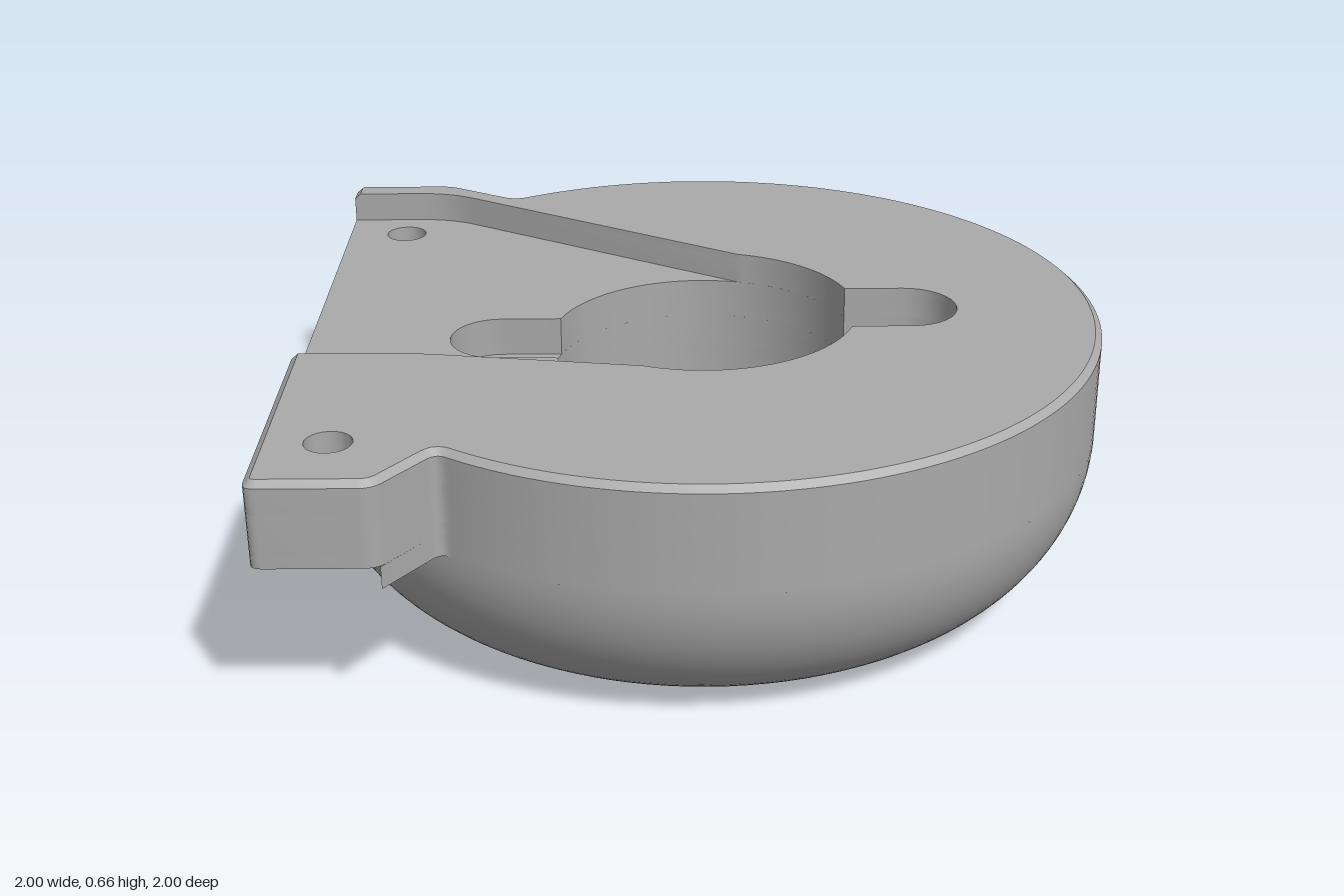
import * as THREE from 'three';
import { toCreasedNormals } from 'three/addons/utils/BufferGeometryUtils.js';

const V = (x, z) => new THREE.Vector2(x, z);

// points along an arc in the x-z plane
function arc(cx, cz, r, from, to, n) {
  const pts = [];
  for (let i = 0; i <= n; i++) {
    const t = from + (to - from) * i / n;
    pts.push(V(cx + r * Math.cos(t), cz + r * Math.sin(t)));
  }
  return pts;
}

const circle = (cx, cz, r, n = 32) => arc(cx, cz, r, 0, Math.PI * 2, n).slice(0, -1);

// replace the corner p (between a and b) by a small curve
function corner(a, p, b, r) {
  const toward = (q) => p.clone().add(q.clone().sub(p).setLength(r));
  return new THREE.QuadraticBezierCurve(toward(a), p, toward(b)).getPoints(5);
}

// shift an open outline into the solid by d, mitred at the corners
function inset(pts, d) {
  const normal = (a, b) => V(b.y - a.y, a.x - b.x).normalize();
  return pts.map((p, i) => {
    const n1 = i > 0 ? normal(pts[i - 1], p) : normal(p, pts[1]);
    const n2 = i < pts.length - 1 ? normal(p, pts[i + 1]) : n1;
    return p.clone().addScaledVector(n1.clone().add(n2), d / (1 + n1.dot(n2)));
  });
}

// horizontal slab between two heights
function slab(points, holes, bottom, top) {
  const shape = new THREE.Shape(points);
  holes.forEach((h) => shape.holes.push(new THREE.Path(h)));
  const geo = new THREE.ExtrudeGeometry(shape, { depth: top - bottom, bevelEnabled: false });
  return geo.rotateX(Math.PI / 2).translate(0, top, 0);
}

export function createModel() {
  const group = new THREE.Group();
  const grey = new THREE.MeshStandardMaterial({ color: 0xaaaaaa });
  const add = (name, geo) => {
    const mesh = new THREE.Mesh(toCreasedNormals(geo, 0.55), grey);
    mesh.name = name;
    group.add(mesh);
  };

  // heights
  const ceiling = 0.28, tabBottom = 0.395, recessTop = 0.45, slotFloor = 0.48;
  const pocketFloor = 0.58, chamferStart = 0.645, top = 0.66, chamfer = 0.017;

  // outer outline: front tab, round body, back tab (open on the pocket side)
  const rim = arc(0, 0, 1, Math.atan2(0.8, -0.6), Math.atan2(-0.85, -0.53), 110);
  const n = rim.length;
  const fs = V(-1, 0.275), fa = V(-1, 0.963), fb = V(-0.72, 0.963);
  const bb = V(-0.72, -0.963), ba = V(-1, -0.963), bs = V(-1, -0.885);
  const round = [
    ...corner(fb, rim[0], rim[1], 0.03),
    ...rim.slice(1, -1),
    ...corner(rim[n - 2], rim[n - 1], bb, 0.03),
  ];
  const outline = [
    fs, ...corner(fs, fa, fb, 0.03), ...corner(fa, fb, rim[0], 0.03),
    ...round,
    ...corner(rim[n - 1], bb, ba, 0.03), ...corner(bb, ba, bs, 0.03), bs,
  ];

  // openings
  const bore = 0.39, slot = 0.125, slotX = 0.52;
  const a = Math.asin(slot / bore), h = Math.PI / 2;
  const boreHole = circle(0, 0, bore, 72);
  const screws = [circle(-slotX, 0, 0.058), circle(slotX, 0, 0.058)];
  const frontTabHole = circle(-0.84, 0.767, 0.055);
  const tabHoles = [frontTabHole, circle(-0.84, -0.767, 0.055)];
  const slottedBore = [
    ...arc(0, 0, bore, a, Math.PI - a, 32), ...arc(-slotX, 0, slot, h, 3 * h, 16),
    ...arc(0, 0, bore, Math.PI + a, 2 * Math.PI - a, 32), ...arc(slotX, 0, slot, -h, h, 16),
  ];

  // rounded lower bowl with its cavity wall
  const bowl = [V(0.67, ceiling), V(0.67, 0.02), V(0.685, 0), V(0.715, 0)];
  const R = 0.42;
  const start = -Math.asin(tabBottom / R);
  bowl.push(...arc(1 - R, tabBottom, R, start, 0, 20));
  add('bowl', new THREE.LatheGeometry(bowl, 112));

  // floor plate above the cavity
  add('cavityCeiling', slab(circle(0, 0, 0.68, 72), [boreHole, ...screws], ceiling, tabBottom));

  // lowest body layer, cut away below the tab screws
  const recessed = [
    V(-1, 0.69), V(-0.715, 0.69), V(-0.715, 0.957), ...round,
    V(-0.715, -0.96), V(-0.715, -0.69), V(-1, -0.69),
  ];
  add('bodyLower', slab(recessed, [boreHole, ...screws], tabBottom, recessTop));
  add('slotFloor', slab(outline, [boreHole, ...screws, ...tabHoles], recessTop, slotFloor));
  add('bodyMiddle', slab(outline, [slottedBore, ...tabHoles], slotFloor, pocketFloor));

  // raised top around the wedge-shaped pocket
  const back = V(-0.72, -0.885), front = V(-0.72, 0.275);
  const inner = [
    ...arc(0, 0, bore, Math.atan2(-0.38, 0.1), -a, 24),
    ...arc(slotX, 0, slot, -h, h, 16),
    ...arc(0, 0, bore, a, Math.atan2(0.36, -0.15), 32),
  ];
  const raised = [
    ...outline, ...corner(bs, back, inner[0], 0.08), ...inner,
    ...corner(inner[inner.length - 1], front, fs, 0.08),
  ];
  add('raisedTop', slab(raised, [frontTabHole], pocketFloor, chamferStart));

  // chamfered edge: pull the upper outer vertices inward
  const cap = slab(raised, [frontTabHole], chamferStart, top);
  const shifted = inset(outline, chamfer);
  const pos = cap.attributes.position;
  for (let i = 0; i < pos.count; i++) {
    if (pos.getY(i) < top - 0.001) continue;
    const p = V(pos.getX(i), pos.getZ(i));
    const k = outline.findIndex((q) => q.distanceTo(p) < 1e-4);
    if (k >= 0) pos.setXYZ(i, shifted[k].x, top, shifted[k].y);
  }
  add('chamferedTop', cap);

  return group;
}
